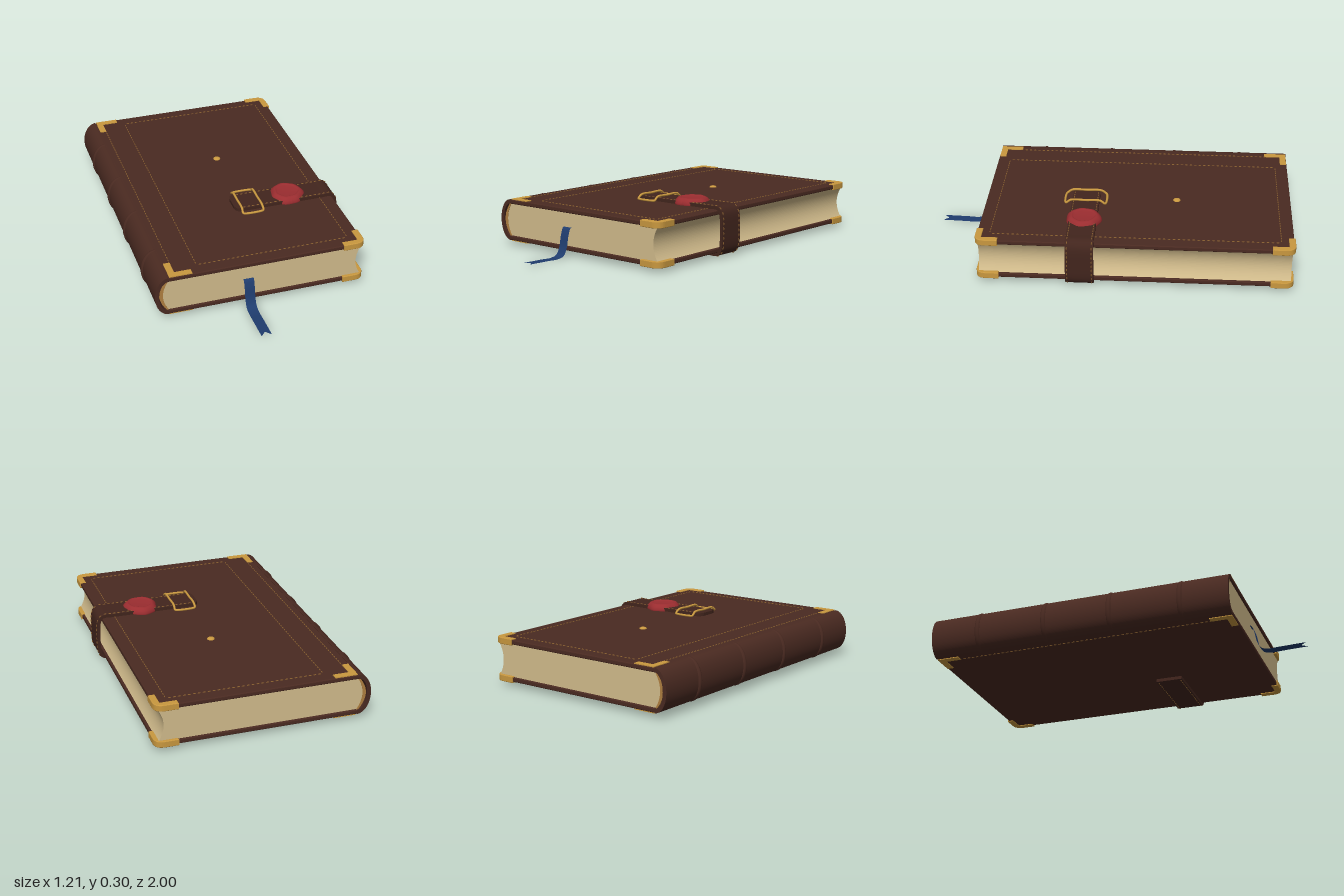
import * as THREE from 'three';
import { mergeGeometries } from 'three/addons/utils/BufferGeometryUtils.js';

const mat = (name, color, extra = {}) => Object.assign(new THREE.MeshStandardMaterial({ color, ...extra }), { name });
const V = (x, y, z) => new THREE.Vector3(x, y, z);
const MID_Y = 0.145, MID_Z = -0.145;

export function createModel() {
  const book = new THREE.Group();
  book.name = 'book';
  const leather = mat('leather', 0x4a2a21);
  const strapLeather = mat('strap leather', 0x42251d);
  const paper = mat('paper', 0xd2bc8c);
  const brass = mat('brass', 0xc9983f);
  const thread = mat('thread', 0x8a6030);
  const wax = mat('sealing wax', 0x9b2d30);
  const bandCloth = mat('headband cloth', 0xb08040);
  const silk = mat('ribbon silk', 0x1f3c6e, { side: THREE.DoubleSide });

  const add = (name, geometry, material) => {
    const mesh = new THREE.Mesh(geometry, material);
    mesh.name = name;
    book.add(mesh);
    return mesh;
  };

  // Horizontal plate from a plan shape drawn in (x, -z)
  const slab = (shape, y0, y1, bevel) => {
    const g = new THREE.ExtrudeGeometry(shape, {
      depth: y1 - y0 - 2 * bevel, bevelEnabled: bevel > 0, bevelThickness: bevel,
      bevelSize: bevel, bevelOffset: -bevel, bevelSegments: 3, curveSegments: 10,
    });
    return g.rotateX(-Math.PI / 2).translate(0, y0 + bevel, 0);
  };
  // Upright profile in (x, y), run from z0 to z1
  const run = (shape, z0, z1) => new THREE.ExtrudeGeometry(shape, {
    depth: z1 - z0, bevelEnabled: false, curveSegments: 24,
  }).translate(0, 0, z0);

  // Cover boards, rounded at the fore-edge
  const board = new THREE.Shape();
  const zf = 0.705, zb = -0.995, r = 0.05;
  board.moveTo(-0.522, -zf);
  board.lineTo(0.567 - r, -zf);
  board.quadraticCurveTo(0.567, -zf, 0.567, -zf + r);
  board.lineTo(0.567, -zb - r);
  board.quadraticCurveTo(0.567, -zb, 0.567 - r, -zb);
  board.lineTo(-0.522, -zb);
  add('frontCover', slab(board, 0.235, 0.26, 0.006), leather);
  add('backCover', slab(board, 0.03, 0.055, 0.006), leather);

  // Page block: hollow fore-edge, rounded back
  const pages = new THREE.Shape();
  pages.moveTo(-0.52, 0.053);
  pages.lineTo(0.555, 0.053);
  pages.quadraticCurveTo(0.495, MID_Y, 0.555, 0.237);
  pages.lineTo(-0.52, 0.237);
  pages.quadraticCurveTo(-0.58, MID_Y, -0.52, 0.053);
  add('pages', run(pages, -0.985, 0.695), paper);

  // Headbands at both ends of the page back
  const band = new THREE.Shape();
  band.moveTo(-0.52, 0.055);
  band.quadraticCurveTo(-0.58, MID_Y, -0.52, 0.235);
  band.lineTo(-0.528, 0.238);
  band.quadraticCurveTo(-0.608, MID_Y, -0.528, 0.052);
  add('frontHeadband', run(band, 0.66, 0.698), bandCloth);
  add('rearHeadband', run(band, -0.988, -0.95), bandCloth);

  // Hollow spine shell
  const spine = new THREE.Shape();
  spine.absellipse(-0.52, MID_Y, 0.074, 0.115, Math.PI / 2, 1.5 * Math.PI, false);
  spine.absellipse(-0.52, MID_Y, 0.052, 0.092, 1.5 * Math.PI, Math.PI / 2, true);
  add('spine', run(spine, zb, zf), leather);

  // Raised bands across the spine
  const arc = [];
  for (let i = 0; i <= 16; i++) {
    const a = Math.PI * (0.5 + i / 16);
    arc.push(V(-0.52 + 0.067 * Math.cos(a), MID_Y + 0.102 * Math.sin(a), 0));
  }
  const arcCurve = new THREE.CatmullRomCurve3(arc);
  [-0.72, -0.33, 0.045, 0.44].forEach((z) => {
    add('spineBand', new THREE.TubeGeometry(arcCurve, 32, 0.016, 10).translate(0, 0, z), leather);
  });

  // Brass corners: thick wrapped ones at the fore-edge, thin ones by the spine
  const corner = (x, dx, s, half, round) => {
    const w = 0.036, len = 0.125;
    const p = (a, b) => [x + dx * a, -MID_Z + s * (half - b)];
    const sh = new THREE.Shape();
    sh.moveTo(...p(len, 0));
    sh.lineTo(...p(round, 0));
    sh.quadraticCurveTo(...p(0, 0), ...p(0, round));
    sh.lineTo(...p(0, len));
    sh.lineTo(...p(w, len));
    sh.lineTo(...p(w, w));
    sh.lineTo(...p(len, w));
    return sh;
  };
  for (const s of [-1, 1]) {
    const outer = corner(0.574, -1, s, 0.856, 0.055);
    const inner = corner(-0.515, 1, s, 0.847, 0.003);
    add('upperOuterCorner', slab(outer, 0.23, 0.266, 0.004), brass);
    add('lowerOuterCorner', slab(outer, 0.024, 0.06, 0.004), brass);
    add('upperInnerCorner', slab(inner, 0.259, 0.264, 0), brass);
    add('lowerInnerCorner', slab(inner, 0.026, 0.031, 0), brass);
  }

  // Stitches: small beads spaced along a line
  const stitchParts = [];
  const stitch = (p, dir) => {
    const q = new THREE.Quaternion().setFromUnitVectors(V(1, 0, 0), dir);
    const g = new THREE.SphereGeometry(1, 6, 4);
    g.applyMatrix4(new THREE.Matrix4().compose(p, q, V(0.0095, 0.0035, 0.0032)));
    stitchParts.push(g);
  };
  const stitchLine = (a, b) => {
    const n = Math.round(a.distanceTo(b) / 0.026);
    const dir = b.clone().sub(a).normalize();
    for (let i = 0; i <= n; i++) stitch(a.clone().lerp(b, i / n), dir);
  };
  const top = 0.261, x0 = -0.35, x1 = 0.495, z0 = -0.925, z1 = 0.635, c = 0.02;
  for (const z of [z0, z1]) stitchLine(V(x0 + c, top, z), V(x1 - c, top, z));
  for (const x of [x0, x1]) stitchLine(V(x, top, z0 + c), V(x, top, z1 - c));
  for (const y of [top, 0.029]) stitchLine(V(-0.48, y, -0.87), V(-0.48, y, 0.58));

  // Strap wrapped around the fore-edge, with a rounded tip
  const strapPath = new THREE.CatmullRomCurve3([
    V(0, 0.27, 0), V(0.3, 0.27, 0), V(0.5, 0.27, 0), V(0.56, 0.269, 0), V(0.582, 0.247, 0),
    V(0.59, MID_Y, 0), V(0.582, 0.043, 0), V(0.56, 0.021, 0), V(0.5, 0.02, 0), V(0.14, 0.02, 0),
  ]);
  strapPath.arcLengthDivisions = 600;
  const total = strapPath.getLength(), strapZ = 0.147;
  const frame = (u) => {
    const t = strapPath.getTangentAt(u);
    return { p: strapPath.getPointAt(u), t, n: V(-t.y, t.x, 0) };
  };
  const strap = new THREE.BoxGeometry(1, 0.018, 0.152, 160, 1, 1);
  const pos = strap.attributes.position;
  for (let i = 0; i < pos.count; i++) {
    const u = THREE.MathUtils.clamp(pos.getX(i) + 0.5, 0, 1);
    const { p, n } = frame(u);
    const d = Math.min(1, (u * total) / 0.035);
    const narrow = 0.55 + 0.45 * Math.sqrt(1 - (1 - d) ** 2);
    p.addScaledVector(n, pos.getY(i));
    pos.setXYZ(i, p.x, p.y, strapZ + pos.getZ(i) * narrow);
  }
  strap.computeVertexNormals();
  add('strap', strap, strapLeather);
  const count = Math.round(total / 0.026);
  for (let i = 2; i < count; i++) {
    const { p, t, n } = frame(i / count);
    for (const s of [-1, 1]) stitch(p.clone().addScaledVector(n, 0.0095).setZ(strapZ + s * 0.066), t);
  }
  add('stitching', mergeGeometries(stitchParts), thread);

  // Buckle frame arching over the strap
  const side = (x, s) => [[-0.108, 0.269], [-0.082, 0.287], [0, 0.288], [0.082, 0.287], [0.108, 0.269]]
    .map(([z, y]) => V(x, y, strapZ + s * z));
  const loop = [
    ...side(0.033, 1), V(0.045, 0.268, strapZ + 0.114), V(0.138, 0.268, strapZ + 0.114),
    ...side(0.15, -1), V(0.138, 0.268, strapZ - 0.114), V(0.045, 0.268, strapZ - 0.114),
  ];
  add('buckle', new THREE.TubeGeometry(new THREE.CatmullRomCurve3(loop, true), 120, 0.0065, 8, true), brass);

  // Wax seal with an uneven rim and a pressed centre
  const sealProfile = [[0.098, 0.26], [0.1, 0.268], [0.094, 0.282], [0.082, 0.294], [0.072, 0.298],
    [0.064, 0.296], [0.058, 0.292], [0, 0.292]].map(([x, y]) => new THREE.Vector2(x, y));
  const seal = new THREE.LatheGeometry(sealProfile, 48);
  const sp = seal.attributes.position;
  for (let i = 0; i < sp.count; i++) {
    const a = Math.atan2(sp.getZ(i), sp.getX(i));
    const k = 0.97 + 0.025 * Math.sin(3 * a + 1) + 0.02 * Math.sin(7 * a);
    sp.setXYZ(i, sp.getX(i) * k, sp.getY(i), sp.getZ(i) * k);
  }
  seal.computeVertexNormals();
  add('waxSeal', seal, wax).position.set(0.327, 0, 0.142);

  // Brass stud on the front cover
  const stud = add('stud', new THREE.SphereGeometry(0.021, 20, 8, 0, Math.PI * 2, 0, Math.PI / 2), brass);
  stud.scale.y = 0.5;
  stud.position.set(0.07, 0.26, -0.36);

  // Ribbon marker with a forked end
  const ribbonPath = new THREE.CatmullRomCurve3([
    V(0, 0.158, 0.685), V(0, 0.155, 0.702), V(0, 0.12, 0.717), V(0, 0.045, 0.735), V(0, 0.012, 0.757),
    V(0, 0.002, 0.8), V(0, 0.004, 0.86), V(0, 0.008, 1.0),
  ]);
  const ribbon = new THREE.PlaneGeometry(0.056, 1, 2, 48);
  const rp = ribbon.attributes.position;
  for (let i = 0; i < rp.count; i++) {
    const u = THREE.MathUtils.clamp(0.5 - rp.getY(i), 0, 1);
    const notch = Math.abs(rp.getX(i)) < 0.001 ? 1 - 0.075 * THREE.MathUtils.smoothstep(u, 0.7, 1) : 1;
    const p = ribbonPath.getPointAt(u * notch);
    rp.setXYZ(i, rp.getX(i) - 0.083, p.y, p.z);
  }
  ribbon.computeVertexNormals();
  add('ribbonMarker', ribbon, silk);

  return book;
}
